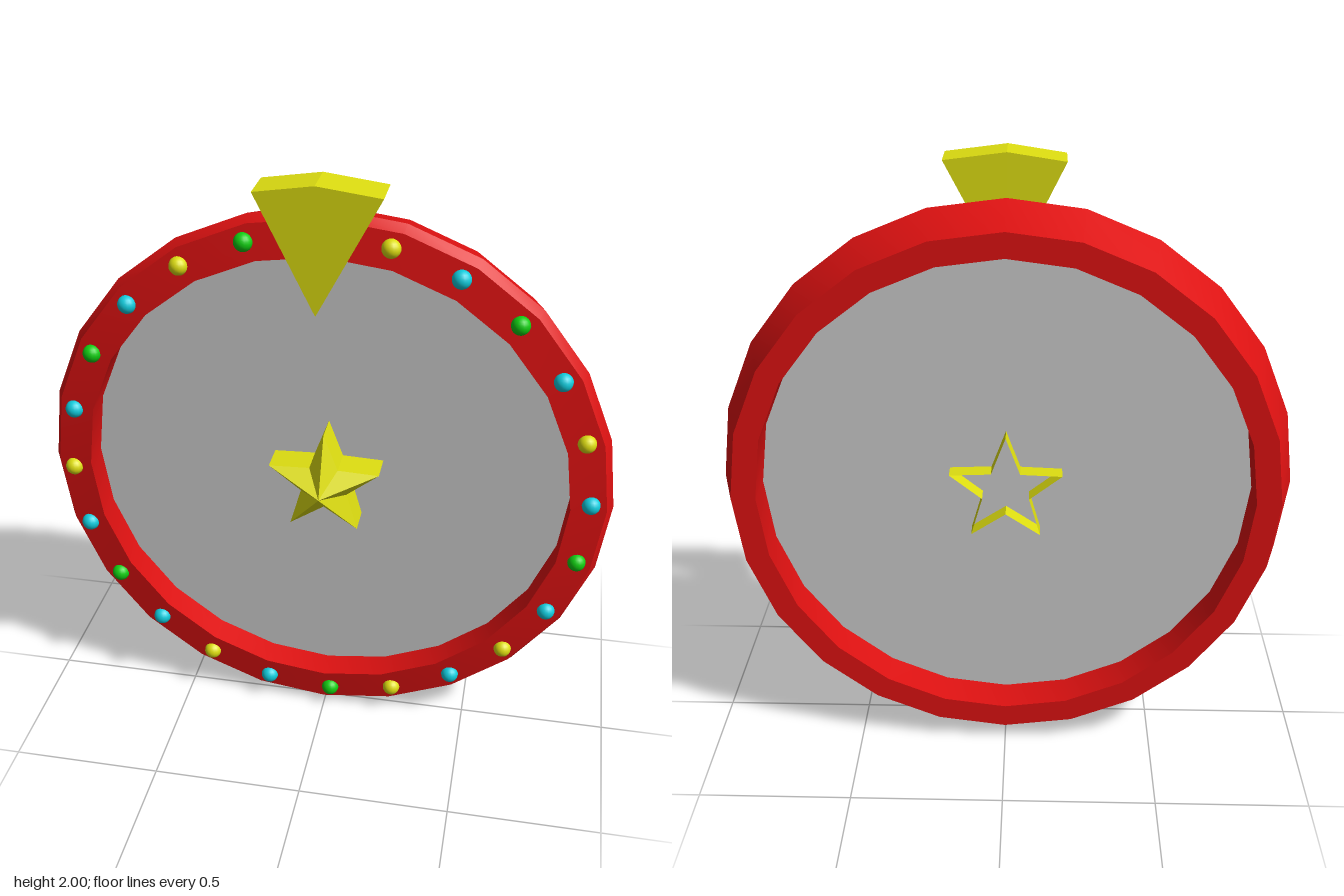
import * as THREE from 'three';
import { toCreasedNormals } from 'three/addons/utils/BufferGeometryUtils.js';

const CY = 0.94; // height of the wheel's centre
const mat = (color, extra = {}) => new THREE.MeshStandardMaterial({ color, ...extra });

function add(parent, name, geometry, material, x = 0, y = 0, z = 0) {
  const mesh = new THREE.Mesh(geometry, material);
  mesh.name = name;
  mesh.position.set(x, y, z);
  parent.add(mesh);
  return mesh;
}

// Hollow star: faceted point in front, straight walls behind, open at the back
function starGeometry(outer, inner, rimZ, apexZ, backZ) {
  const pts = [];
  for (let i = 0; i < 10; i++) {
    const a = Math.PI / 2 + (i * Math.PI) / 5;
    const r = i % 2 ? inner : outer;
    pts.push([r * Math.cos(a), r * Math.sin(a)]);
  }
  const pos = [];
  pts.forEach((p, i) => {
    const q = pts[(i + 1) % 10];
    pos.push(0, 0, apexZ, ...p, rimZ, ...q, rimZ);
    pos.push(...p, rimZ, ...p, backZ, ...q, backZ);
    pos.push(...p, rimZ, ...q, backZ, ...q, rimZ);
  });
  const g = new THREE.BufferGeometry();
  g.setAttribute('position', new THREE.Float32BufferAttribute(pos, 3));
  g.computeVertexNormals();
  return g;
}

export function createModel() {
  const model = new THREE.Group();
  model.name = 'wheel';
  const yellow = mat(0xdddd11);

  // 24-sided ring, wider at the front, with a bevelled front edge
  const profile = [[0.8, -0.175], [0.88, -0.175], [0.935, 0], [0.915, 0.035], [0.8, 0.05], [0.8, -0.175]]
    .map(([r, h]) => new THREE.Vector2(r, h));
  const ring = new THREE.LatheGeometry(profile, 24).rotateX(Math.PI / 2);
  add(model, 'ring', toCreasedNormals(ring, 0.29), mat(0xdd1111), 0, CY, 0);

  // Thin panel set into the ring
  add(model, 'panel', new THREE.CircleGeometry(0.802, 24),
    mat(0xcccccc, { side: THREE.DoubleSide }), 0, CY, -0.05);

  // Star through the middle of the panel
  add(model, 'star', starGeometry(0.192, 0.08, 0.05, 0.14, -0.11),
    mat(0xdddd11, { side: THREE.DoubleSide, flatShading: true }), 0, CY, 0);

  // Bulbs round the front of the ring, clockwise from the top
  const bulbMats = { Y: yellow, C: mat(0x11ccdd), G: mat(0x11cc11) };
  const bulbs = new THREE.Group();
  bulbs.name = 'bulbs';
  const bulbGeo = new THREE.SphereGeometry(0.03, 16, 12);
  [...'YYCGCYCGCYCYGCYCGCYCGCYG'].forEach((c, k) => {
    const a = THREE.MathUtils.degToRad(15 * k - 1.5);
    add(bulbs, 'bulb', bulbGeo, bulbMats[c], 0.863 * Math.sin(a), CY + 0.863 * Math.cos(a), 0.042);
  });
  model.add(bulbs);

  // Wedge pointer at the top
  const wedge = new THREE.Shape([[0, 1.605], [0.195, 1.975], [0, 2], [-0.182, 1.972]]
    .map(([x, y]) => new THREE.Vector2(x, y)));
  add(model, 'pointer', new THREE.ExtrudeGeometry(wedge, { depth: 0.127, bevelEnabled: false }), yellow, 0, 0, 0.05);

  return model;
}
